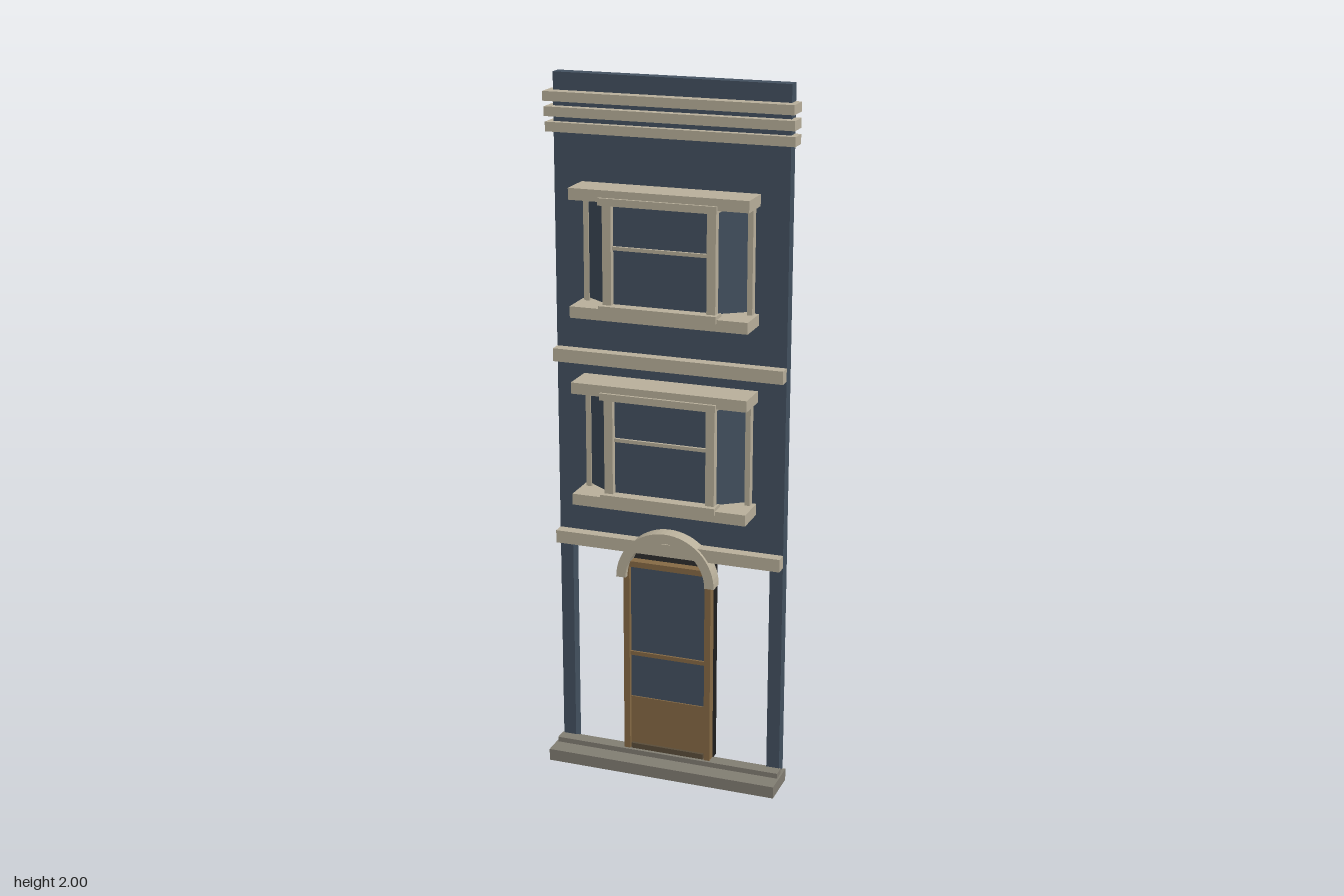
import * as THREE from 'three';

const mat = (name, color) => {
  const m = new THREE.MeshStandardMaterial({ color });
  m.name = name;
  return m;
};

export function createModel() {
  const navy = mat('navy wall', 0x435160);
  const cream = mat('cream trim', 0xb9b09b);
  const stone = mat('grey stone', 0x827e73);
  const wood = mat('brown wood', 0x866a45);
  const black = mat('black backing', 0x1e1e1e);
  const brass = mat('dark kick plate', 0x5a4d3a);

  const root = new THREE.Group();
  root.name = 'townhouseFacade';

  // Box given by its extents on each axis
  const box = (parent, name, m, x0, x1, y0, y1, z0, z1) => {
    const mesh = new THREE.Mesh(new THREE.BoxGeometry(x1 - x0, y1 - y0, z1 - z0), m);
    mesh.position.set((x0 + x1) / 2, (y0 + y1) / 2, (z0 + z1) / 2);
    mesh.name = name;
    parent.add(mesh);
    return mesh;
  };
  const wide = (parent, name, m, w, y0, y1, z0, z1) => box(parent, name, m, -w, w, y0, y1, z0, z1);

  // Wall with two bay openings and an open ground floor
  const outline = new THREE.Shape([
    [-0.333, 0], [-0.295, 0], [-0.295, 0.685], [0.295, 0.685],
    [0.295, 0], [0.333, 0], [0.333, 2], [-0.333, 2],
  ].map(([x, y]) => new THREE.Vector2(x, y)));
  const bays = [0.815, 1.354];
  for (const y of bays) {
    outline.holes.push(new THREE.Path([
      [-0.238, y + 0.01], [-0.238, y + 0.345], [0.238, y + 0.345], [0.238, y + 0.01],
    ].map(([x, v]) => new THREE.Vector2(x, v))));
  }
  const wall = new THREE.Mesh(
    new THREE.ExtrudeGeometry(outline, { depth: 0.037, bevelEnabled: false }), navy);
  wall.position.z = -0.065;
  wall.name = 'wall';
  root.add(wall);

  // Cornice mouldings, stepping outwards towards the top
  [[1.842, 1.868, -0.008], [1.884, 1.91, -0.002], [1.926, 1.952, 0.006]].forEach(([y0, y1, z]) =>
    wide(root, 'corniceMoulding', cream, 0.35, y0, y1, -0.06, z));

  // Floor bands
  for (const y of [0.667, 1.206]) wide(root, 'floorBand', cream, 0.333, y, y + 0.037, -0.03, 0.005);

  // Bay windows
  for (const y of bays) {
    const bay = new THREE.Group();
    bay.name = 'bayWindow';
    bay.position.y = y;
    root.add(bay);
    wide(bay, 'sill', cream, 0.253, 0, 0.032, -0.067, 0.07);
    wide(bay, 'lintel', cream, 0.253, 0.324, 0.356, -0.067, 0.07);
    wide(bay, 'sillTrim', cream, 0.167, 0.022, 0.042, 0.03, 0.078);
    wide(bay, 'lintelTrim', cream, 0.167, 0.316, 0.336, 0.03, 0.078);
    wide(bay, 'frontGlass', navy, 0.14, 0.034, 0.322, 0.038, 0.044);
    wide(bay, 'glazingBar', cream, 0.14, 0.192, 0.202, 0.04, 0.052);
    wide(bay, 'darkBacking', black, 0.155, 0.042, 0.314, 0.02, 0.037);
    for (const s of [-1, 1]) {
      const post = (name, x0, x1, z0, z1) =>
        box(bay, name, cream, Math.min(s * x0, s * x1), Math.max(s * x0, s * x1), 0.03, 0.326, z0, z1);
      post('frontPost', 0.135, 0.16, 0.027, 0.062);
      post('wallPost', 0.226, 0.241, -0.035, -0.005);
      // Canted side pane between the wall post and the front post
      const pane = new THREE.Mesh(new THREE.BoxGeometry(0.088, 0.276, 0.006), navy);
      pane.position.set(s * 0.192, 0.178, 0.012);
      pane.rotation.y = s * Math.atan2(0.05, 0.07);
      pane.name = 'sidePane';
      bay.add(pane);
    }
  }

  // Front door
  const door = new THREE.Group();
  door.name = 'door';
  root.add(door);
  wide(door, 'doorBacking', black, 0.125, 0.035, 0.632, -0.08, -0.026);
  wide(door, 'doorGlass', navy, 0.114, 0.21, 0.622, -0.026, -0.016);
  wide(door, 'lowerPanel', wood, 0.114, 0.05, 0.213, -0.026, -0.012);
  wide(door, 'doorBar', wood, 0.114, 0.344, 0.356, -0.026, -0.01);
  wide(door, 'doorHead', wood, 0.13, 0.62, 0.637, -0.03, -0.002);
  wide(door, 'kickPlate', brass, 0.11, 0.05, 0.066, -0.014, -0.004);
  for (const s of [-1, 1]) {
    box(door, 'doorJamb', wood, s * 0.122 - 0.009, s * 0.122 + 0.009, 0.045, 0.622, -0.03, -0.002);
  }

  // Half-round arch over the door
  const ring = new THREE.Shape();
  ring.absarc(0, 0, 0.146, 0, Math.PI, false);
  ring.absarc(0, 0, 0.118, Math.PI, 0, true);
  const arch = new THREE.Mesh(
    new THREE.ExtrudeGeometry(ring, { depth: 0.044, bevelEnabled: false, curveSegments: 16 }), cream);
  arch.position.set(0, 0.592, -0.029);
  arch.name = 'doorArch';
  root.add(arch);

  // Stone base and step
  wide(root, 'base', stone, 0.343, 0, 0.035, -0.06, 0.06);
  wide(root, 'step', stone, 0.338, 0.034, 0.05, -0.03, 0.006);

  return root;
}
